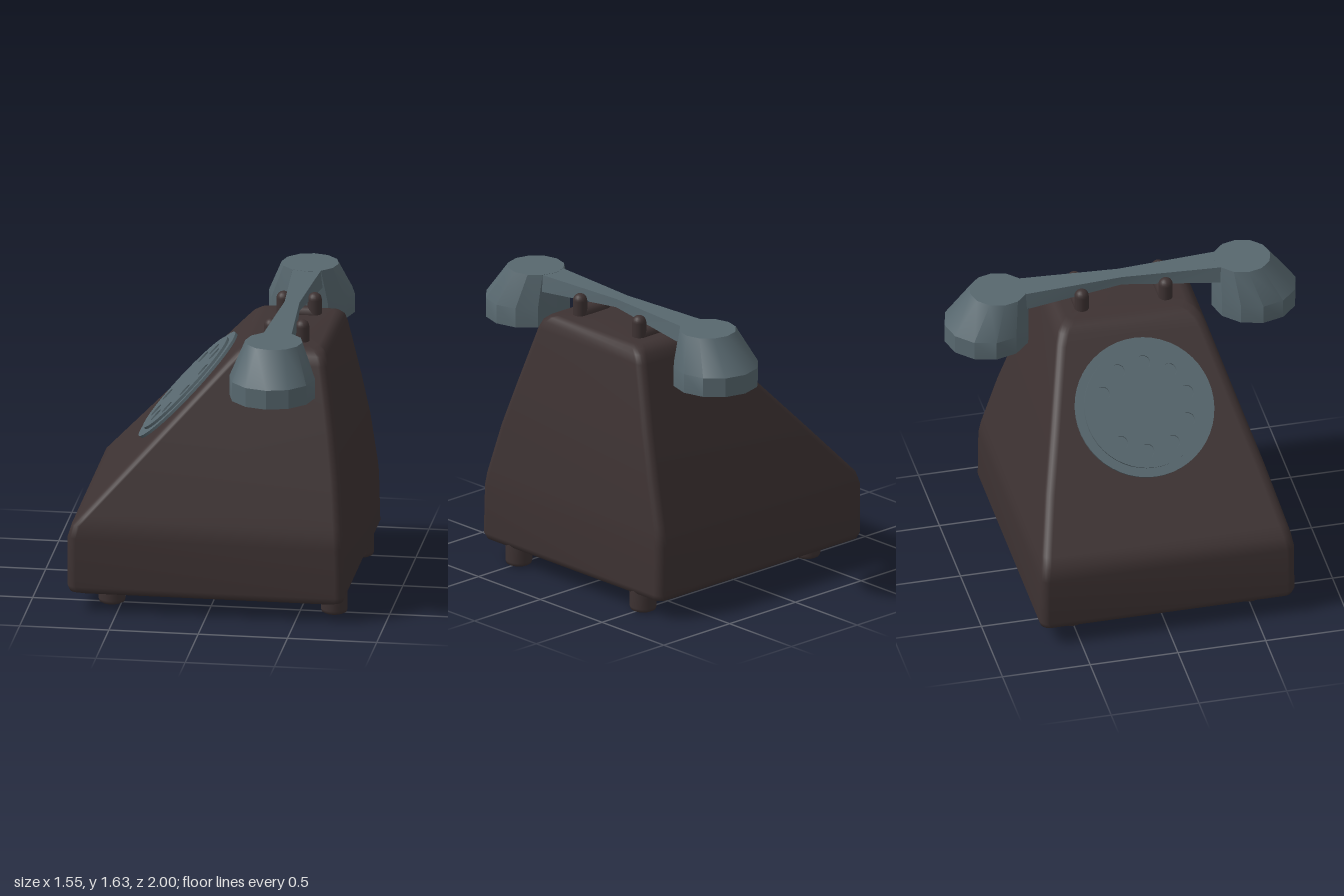
import * as THREE from 'three';
import { toCreasedNormals } from 'three/addons/utils/BufferGeometryUtils.js';

const shellBrown = new THREE.MeshStandardMaterial({ color: 0x3d3232 });
shellBrown.name = 'shellBrown';
const slateGrey = new THREE.MeshStandardMaterial({ color: 0x57676e });
slateGrey.name = 'slateGrey';

function part(name, geometry, material, parent) {
  const mesh = new THREE.Mesh(geometry, material);
  mesh.name = name;
  parent.add(mesh);
  return mesh;
}

function lathe(points, segments) {
  return new THREE.LatheGeometry(points.map(([x, y]) => new THREE.Vector2(x, y)), segments);
}

// Stack of rounded rectangles: [y, xMin, xMax, half depth]
function loftShell(rows, radius, arcSteps) {
  const pos = [], idx = [];
  const n = 4 * (arcSteps + 1);
  for (const [y, x0, x1, zh] of rows) {
    for (let c = 0; c < 4; c++) {
      const cx = c === 0 || c === 3 ? x1 - radius : x0 + radius;
      const cz = c < 2 ? -zh + radius : zh - radius;
      for (let k = 0; k <= arcSteps; k++) {
        const a = (c + k / arcSteps) * Math.PI / 2;
        pos.push(cx + radius * Math.cos(a), y, cz - radius * Math.sin(a));
      }
    }
  }
  for (let i = 0; i < rows.length - 1; i++) {
    for (let j = 0; j < n; j++) {
      const a = i * n + j, b = i * n + (j + 1) % n;
      idx.push(a, b, a + n, b, b + n, a + n);
    }
  }
  // Bottom and top caps
  const last = rows.length - 1;
  for (const [row, up] of [[0, false], [last, true]]) {
    const [y, x0, x1] = rows[row];
    const centre = pos.length / 3;
    pos.push((x0 + x1) / 2, y, 0);
    for (let j = 0; j < n; j++) {
      const a = row * n + j, b = row * n + (j + 1) % n;
      if (up) idx.push(centre, a, b);
      else idx.push(centre, b, a);
    }
  }
  const g = new THREE.BufferGeometry();
  g.setAttribute('position', new THREE.Float32BufferAttribute(pos, 3));
  g.setIndex(idx);
  g.computeVertexNormals();
  return g;
}

function buildBody(parent) {
  const rows = [
    [0.10, -0.73, 0.73, 0.68],
    [0.115, -0.765, 0.76, 0.715],
    [0.15, -0.778, 0.775, 0.727],
    [0.43, -0.778, 0.768, 0.725],
    [0.50, -0.757, 0.763, 0.712],
    [0.55, -0.711, 0.758, 0.698],
    [0.80, -0.482, 0.735, 0.625],
    [1.05, -0.253, 0.698, 0.543],
    [1.40, 0.068, 0.638, 0.43],
    [1.45, 0.115, 0.625, 0.405],
    [1.475, 0.15, 0.605, 0.375],
    [1.488, 0.20, 0.575, 0.335],
  ];
  part('body', loftShell(rows, 0.05, 5), shellBrown, parent);

  // Feet with rounded lower rims
  const footShape = lathe([[0, 0], [0.055, 0], [0.07, 0.008], [0.075, 0.025], [0.075, 0.13]], 20);
  for (const x of [-0.555, 0.69]) {
    for (const z of [-0.503, 0.503]) part('foot', footShape, shellBrown, parent).position.set(x, 0, z);
  }
}

// Two cross bars with a pair of round-topped prongs each
function buildCradle(parent) {
  const cradle = new THREE.Group();
  cradle.name = 'cradle';
  const prong = new THREE.CapsuleGeometry(0.04, 0.1, 6, 16);
  const bar = new THREE.CapsuleGeometry(0.04, 0.17, 6, 16).rotateZ(Math.PI / 2);
  for (const z of [-0.238, 0.24]) {
    part('cradleBar', bar, shellBrown, cradle).position.set(0.385, 1.49, z);
    for (const x of [0.298, 0.472]) part('cradleProng', prong, shellBrown, cradle).position.set(x, 1.52, z);
  }
  parent.add(cradle);
}

function buildDial(parent) {
  const dial = new THREE.Group();
  dial.name = 'dial';
  // Local x runs up the slope, local z points out of it
  const slope = 47.5 * Math.PI / 180;
  const up = new THREE.Vector3(Math.cos(slope), Math.sin(slope), 0);
  const out = new THREE.Vector3(-Math.sin(slope), Math.cos(slope), 0);
  dial.quaternion.setFromRotationMatrix(
    new THREE.Matrix4().makeBasis(up, new THREE.Vector3(0, 0, -1), out));
  dial.position.set(-0.197, 1.111, 0);

  const base = new THREE.CylinderGeometry(0.392, 0.392, 0.036, 48).rotateX(Math.PI / 2);
  part('dialBase', base, slateGrey, dial).position.z = -0.002;

  // Finger wheel: nine of ten places are holes
  const wheel = new THREE.Shape().absarc(0, 0, 0.342, 0, Math.PI * 2);
  for (let i = 0; i < 9; i++) {
    const a = (65.5 - 36 * i) * Math.PI / 180;
    wheel.holes.push(new THREE.Path().absarc(0.248 * Math.cos(a), 0.248 * Math.sin(a), 0.04, 0, Math.PI * 2, true));
  }
  const wheelShape = new THREE.ExtrudeGeometry(wheel, { depth: 0.015, bevelEnabled: false, curveSegments: 24 });
  part('fingerWheel', toCreasedNormals(wheelShape, 0.6), slateGrey, dial).position.z = 0.016;
  parent.add(dial);
}

function buildHandset(parent) {
  const handset = new THREE.Group();
  handset.name = 'handset';
  handset.position.x = 0.38;

  // Twelve-sided cups whose tops lean towards the middle
  for (const side of [1, -1]) {
    const cup = lathe([[0, 1.33], [0.24, 1.33], [0.24, 1.44], [0.16, 1.63], [0, 1.63]], 12);
    const p = cup.attributes.position;
    for (let i = 0; i < p.count; i++) if (p.getY(i) > 1.6) p.setZ(i, p.getZ(i) - side * 0.065);
    const name = side > 0 ? 'earpiece' : 'mouthpiece';
    part(name, toCreasedNormals(cup, 29.5 * Math.PI / 180), slateGrey, handset).position.z = side * 0.76;
  }

  // Handle with a thin waist and arched underside
  const handle = new THREE.BoxGeometry(2, 1, 1.16, 1, 1, 4);
  const p = handle.attributes.position;
  for (let i = 0; i < p.count; i++) {
    const t = Math.abs(p.getZ(i)) / 0.58;
    const top = p.getY(i) > 0;
    p.setX(i, p.getX(i) * (0.042 + t * (top ? 0.038 : 0.05)));
    p.setY(i, top ? 1.629 : 1.58 - 0.048 * t);
  }
  part('handle', toCreasedNormals(handle, 0.5), slateGrey, handset);
  parent.add(handset);
}

export function createModel() {
  const model = new THREE.Group();
  model.name = 'rotaryTelephone';
  buildBody(model);
  buildCradle(model);
  buildDial(model);
  buildHandset(model);
  return model;
}
